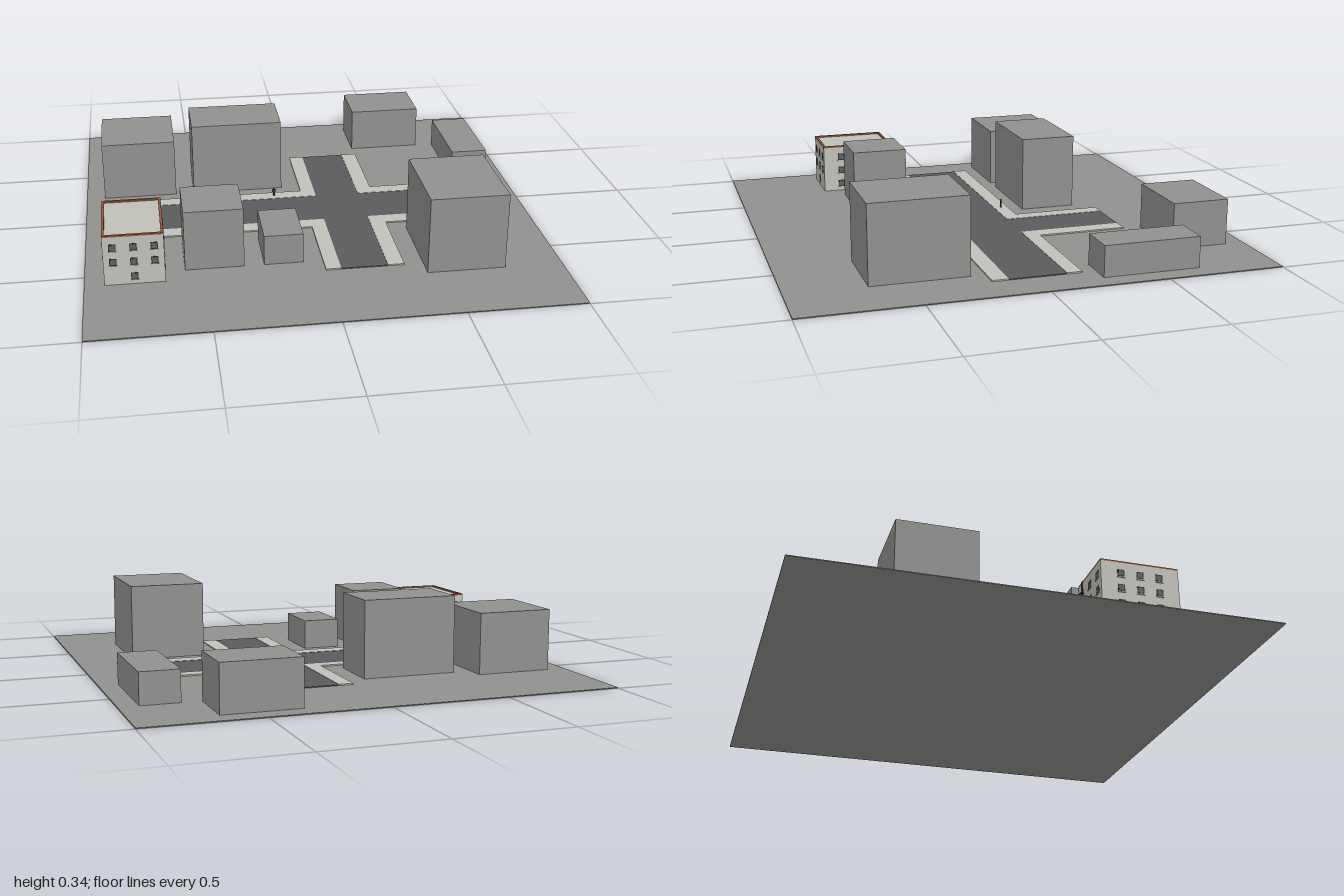
import * as THREE from 'three';

const U = 1 / 12; // planning grid
const GROUND = 0.004;

function mat(name, color) {
  const m = new THREE.MeshStandardMaterial({ color });
  m.name = name;
  return m;
}

// box given by its low and high corners
function box(parent, name, material, x0, x1, y0, y1, z0, z1) {
  const mesh = new THREE.Mesh(new THREE.BoxGeometry(x1 - x0, y1 - y0, z1 - z0), material);
  mesh.position.set((x0 + x1) / 2, (y0 + y1) / 2, (z0 + z1) / 2);
  mesh.name = name;
  parent.add(mesh);
  return mesh;
}

function group(parent, name) {
  const g = new THREE.Group();
  g.name = name;
  parent.add(g);
  return g;
}

export function createModel() {
  const concrete = mat('concrete grey', 0x90908e);
  const asphalt = mat('asphalt', 0x5b5b5e);
  const paving = mat('paving', 0xc0c1ba);
  const wall = mat('pale wall', 0xc0bfb8);
  const brick = mat('brick trim', 0x96583a);
  const glass = mat('window glass', 0x5c6068);
  const iron = mat('dark iron', 0x303032);
  const door = mat('brown wood', 0x6a4a34);

  const city = new THREE.Group();
  city.name = 'cityBlock';
  box(city, 'ground', concrete, -1, 1, 0, GROUND, -1, 1);

  // crossing streets
  const streets = group(city, 'streets');
  const roadTop = 0.008, walkTop = 0.0095;
  box(streets, 'mainRoad', asphalt, -0.835, 0.835, GROUND, roadTop, -0.125, 0.12);
  box(streets, 'crossRoadBack', asphalt, 0.065, 0.265, GROUND, roadTop, -0.585, -0.125);
  box(streets, 'crossRoadFront', asphalt, 0.065, 0.265, GROUND, roadTop, 0.12, 0.585);
  for (const [z0, z1, inner, outer] of [[-0.19, -0.125, -0.19, -0.585], [0.12, 0.19, 0.19, 0.585]]) {
    const a = Math.min(inner, outer), b = Math.max(inner, outer);
    box(streets, 'mainSidewalk', paving, -0.835, 0.065, GROUND, walkTop, z0, z1);
    box(streets, 'mainSidewalk', paving, 0.265, 0.835, GROUND, walkTop, z0, z1);
    box(streets, 'crossSidewalk', paving, 0, 0.065, GROUND, walkTop, a, b);
    box(streets, 'crossSidewalk', paving, 0.265, 0.335, GROUND, walkTop, a, b);
  }

  // plain blocks: x0, x1, z0, z1 in grid steps, then height
  const blocks = group(city, 'plainBuildings');
  for (const [x0, x1, z0, z1, h] of [
    [-11, -7, -7, -3, 0.267], [-6, -1, -6, -3, 0.336], [4, 8, -11, -8, 0.2],
    [9, 11, -8, -3, 0.133], [5, 9, 3, 8, 0.336], [-7, -4, 3, 6, 0.267], [-3, -1, 3, 6, 0.133],
  ]) box(blocks, 'plainBuilding', concrete, x0 * U, x1 * U, GROUND, GROUND + h, z0 * U, z1 * U);

  // detailed corner house, centred on its own axes
  const house = group(city, 'cornerHouse');
  house.position.set(-9.5 * U, 0, 5 * U);
  const hw = 1.5 * U, hd = 2 * U, roof = 0.222;
  box(house, 'walls', wall, -hw, hw, GROUND, roof, -hd, hd);

  // roof trim
  const t = 0.011, top = 0.229;
  for (const s of [-1, 1]) {
    const xa = s * hw, xb = s * (hw - t), za = s * hd, zb = s * (hd - t);
    box(house, 'roofTrim', brick, Math.min(xa, xb), Math.max(xa, xb), roof, top, -hd, hd);
    box(house, 'roofTrim', brick, -hw + t, hw - t, roof, top, Math.min(za, zb), Math.max(za, zb));
  }

  // one face of windows; the face looks along its own +z
  const rows = [0.04, 0.108, 0.174];
  function facade(name, angle, dist, columns, groundColumns) {
    const face = group(house, name);
    face.rotation.y = angle;
    rows.forEach((y, row) => {
      for (const x of row === 0 ? groundColumns : columns) {
        box(face, 'windowFrame', iron, x - 0.015, x + 0.015, y - 0.016, y + 0.016, dist, dist + 0.001);
        box(face, 'windowPane', glass, x - 0.011, x + 0.011, y - 0.012, y + 0.012, dist, dist + 0.002);
        box(face, 'windowSill', wall, x - 0.017, x + 0.017, y - 0.02, y - 0.016, dist, dist + 0.004);
      }
    });
    return face;
  }
  const across = [-0.085, 0, 0.085], along = [-0.082, 0, 0.082];
  facade('frontWindows', 0, hd, across, [0]);
  facade('leftWindows', Math.PI / 2, hw, along, along);
  facade('rightWindows', -Math.PI / 2, hw, along, along);
  const street = facade('streetFace', Math.PI, hd, across, [0.085]);
  box(street, 'door', door, -0.016, 0.016, GROUND, 0.056, hd, hd + 0.003);

  // fire escape on the street face
  const escape = group(street, 'fireEscape');
  const x0 = -0.103, x1 = -0.067, z1 = hd + 0.017, r = 0.002;
  for (const y of [0.076, 0.142]) {
    box(escape, 'platform', paving, x0, x1, y, y + 0.004, hd, z1);
    for (const h of [0.014, 0.026]) {
      box(escape, 'frontRail', iron, x0, x1, y + h, y + h + r, z1 - r, z1);
      box(escape, 'sideRail', iron, x0, x0 + r, y + h, y + h + r, hd, z1);
      box(escape, 'sideRail', iron, x1 - r, x1, y + h, y + h + r, hd, z1);
    }
    for (let i = 0; i < 5; i++) {
      const x = x0 + i * (x1 - x0 - r) / 4;
      box(escape, 'railPost', iron, x, x + r, y + 0.004, y + 0.028, z1 - r, z1);
    }
  }
  for (const x of [x1 - 0.012, x1 - 0.002])
    box(escape, 'ladderSide', iron, x, x + r, 0.03, 0.228, hd + 0.004, hd + 0.006);
  for (let y = 0.036; y < 0.226; y += 0.012)
    box(escape, 'ladderRung', iron, x1 - 0.012, x1, y, y + r, hd + 0.004, hd + 0.006);

  // pedestrian on the back sidewalk
  const person = group(city, 'pedestrian');
  person.position.set(-0.13, walkTop, -0.158);
  for (const s of [-1, 1]) {
    box(person, 'leg', iron, s * 0.0025 - 0.002, s * 0.0025 + 0.002, 0, 0.017, -0.002, 0.002);
    box(person, 'arm', iron, s * 0.0065 - 0.0015, s * 0.0065 + 0.0015, 0.016, 0.031, -0.002, 0.002);
  }
  box(person, 'torso', iron, -0.005, 0.005, 0.017, 0.032, -0.003, 0.003);
  const head = new THREE.Mesh(new THREE.SphereGeometry(0.0045, 12, 8), door);
  head.name = 'head';
  head.position.y = 0.036;
  person.add(head);

  return city;
}
